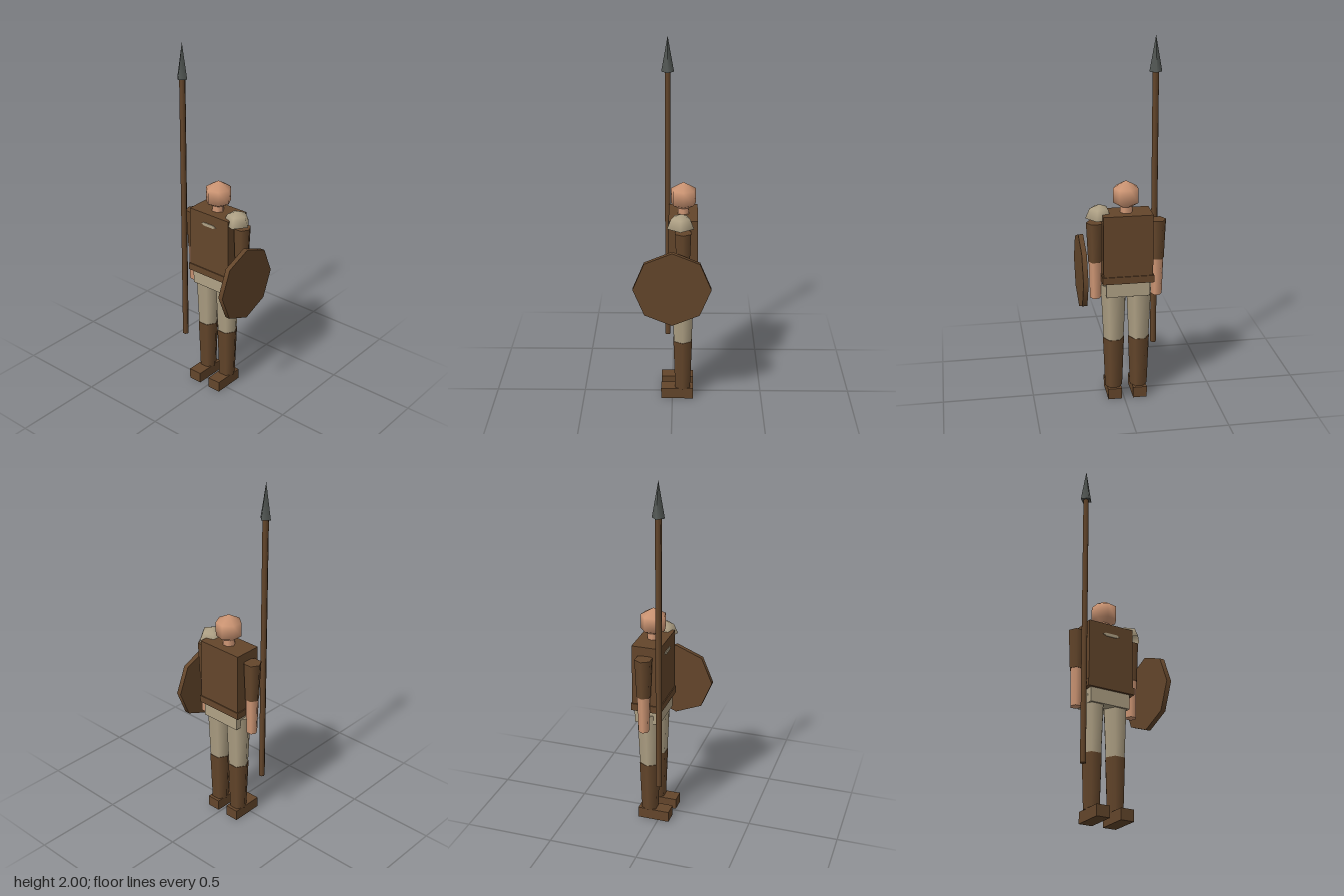
import * as THREE from 'three';

export function createModel() {
  const model = new THREE.Group();
  model.name = 'spearGuard';

  const material = (name, color, side = THREE.FrontSide) => {
    const m = new THREE.MeshStandardMaterial({ color, side });
    m.name = name;
    return m;
  };
  const leather = material('brown leather', 0x64462b);
  const cloth = material('beige cloth', 0xafa185, THREE.DoubleSide);
  const skin = material('skin', 0xcf9775);
  const iron = material('dark iron', 0x555a57);

  const add = (name, geometry, mat, x, y, z, parent = model) => {
    const mesh = new THREE.Mesh(geometry, mat);
    mesh.name = name;
    mesh.position.set(x, y, z);
    parent.add(mesh);
    return mesh;
  };
  // Upright tapered tube from y0 to y1, with a corner on +x
  const taper = (name, rTop, rBottom, y0, y1, mat, x, z, sides = 6, parent = model) => add(
    name, new THREE.CylinderGeometry(rTop, rBottom, y1 - y0, sides).rotateY(Math.PI / 2),
    mat, x, (y0 + y1) / 2, z, parent);

  const body = new THREE.Group();
  body.name = 'body';
  body.position.set(-0.018, 0, -0.058);
  model.add(body);

  // Torso
  add('torso', new THREE.BoxGeometry(0.268, 0.38, 0.156), leather, 0, 0.89, 0, body);
  add('belt', new THREE.BoxGeometry(0.28, 0.04, 0.167), leather, 0, 0.72, 0, body);
  add('hips', new THREE.BoxGeometry(0.236, 0.1, 0.14), cloth, 0, 0.67, 0, body);

  // Small chest plate
  const plate = new THREE.Shape([[-0.05, 0], [-0.03, -0.009], [0.03, -0.009], [0.05, 0], [0.034, 0.009], [-0.034, 0.009]]
    .map(([x, y]) => new THREE.Vector2(x, y)));
  add('chestPlate', new THREE.ExtrudeGeometry(plate, { depth: 0.005, bevelEnabled: false }),
    cloth, 0, 1.016, 0.077, body);

  // Neck and head
  taper('neck', 0.032, 0.035, 1.06, 1.12, skin, 0, 0, 6, body);
  add('head', new THREE.SphereGeometry(0.08, 7, 3).rotateY(Math.PI), skin, 0.002, 1.175, 0, body);

  // Arms and legs
  for (const side of [-1, 1]) {
    const label = side > 0 ? 'left' : 'right';
    const arm = side * 0.168;
    const leg = side * 0.07;
    taper(label + 'Sleeve', 0.0485, 0.039, 0.81, 1.03, leather, arm, 0, 6, body);
    taper(label + 'Forearm', 0.036, 0.03, 0.6, 0.81, skin, arm, 0, 6, body);
    taper(label + 'Thigh', 0.07, 0.056, 0.35, 0.67, cloth, leg, 0, 6, body);
    taper(label + 'Boot', 0.059, 0.048, 0.06, 0.355, leather, leg, 0, 6, body);
    add(label + 'Foot', new THREE.BoxGeometry(0.077, 0.062, 0.179), leather, leg, 0.031, 0.031, body);
  }

  // Open dome over the left shoulder
  add('shoulderGuard', new THREE.SphereGeometry(0.075, 5, 2, 0, Math.PI * 2, 0, Math.PI / 2).rotateY(Math.PI),
    cloth, 0.125, 1.05, -0.044);

  // Eight-sided shield
  add('shield', new THREE.CylinderGeometry(0.209, 0.209, 0.027, 8).rotateZ(Math.PI / 2),
    leather, 0.2205, 0.737, 0);

  // Spear
  taper('spearShaft', 0.017, 0.017, 0.27, 1.81, leather, -0.187, 0.028);
  add('spearHead', new THREE.ConeGeometry(0.034, 0.19, 4), iron, -0.187, 1.905, 0.028);

  return model;
}
